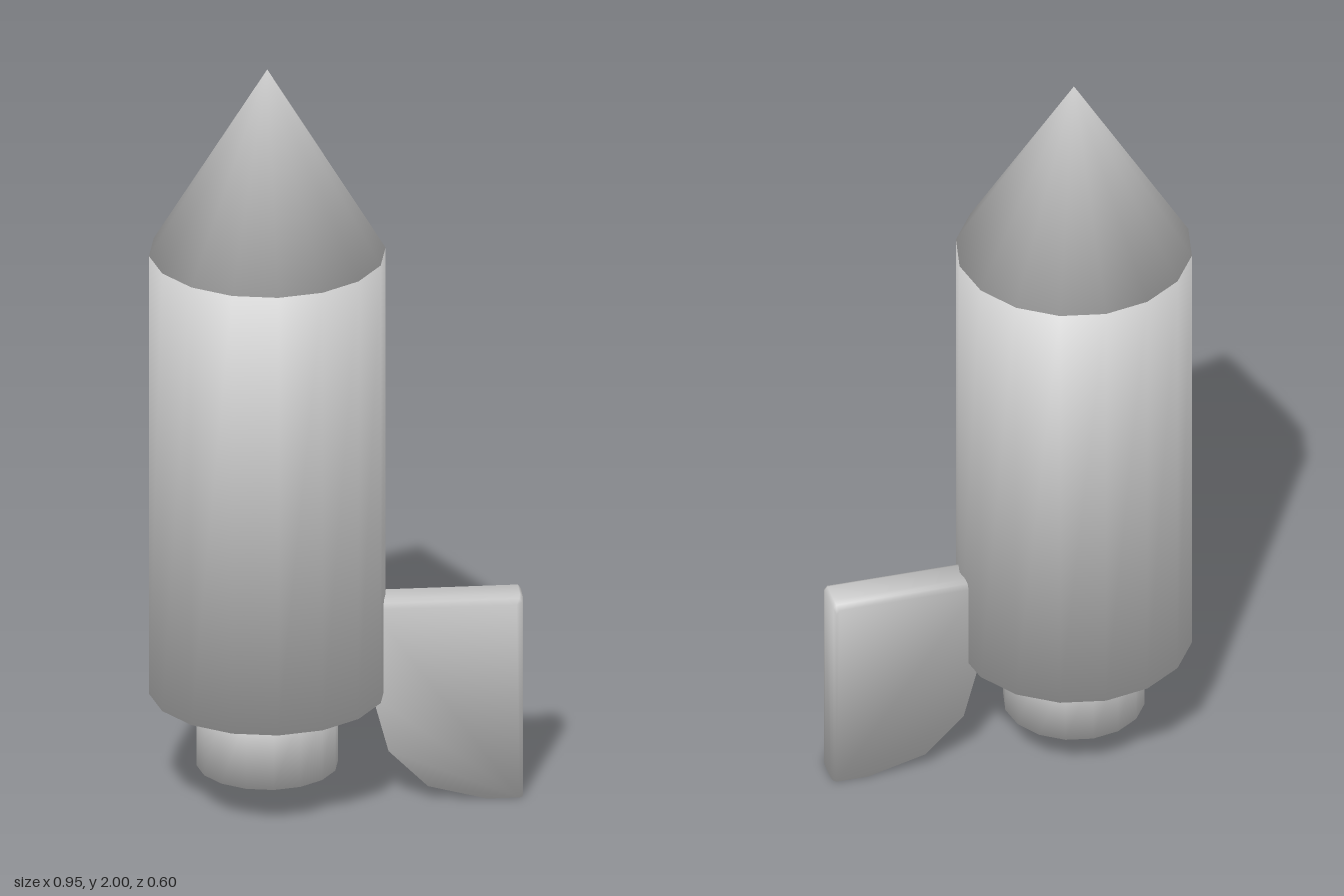
import * as THREE from 'three';
import { mergeVertices } from 'three/addons/utils/BufferGeometryUtils.js';

const SIDES = 16;
const AXIS_X = -0.173;

// Welds a geometry and gives it fully smooth normals, weighted by corner angle
function smooth(source) {
  source.deleteAttribute('uv');
  source.deleteAttribute('normal');
  const geo = mergeVertices(source, 1e-4);
  const pos = geo.attributes.position;
  const idx = geo.index;
  const sums = Array.from({ length: pos.count }, () => new THREE.Vector3());
  const p = [0, 1, 2].map(() => new THREE.Vector3());
  const u = new THREE.Vector3(), v = new THREE.Vector3(), n = new THREE.Vector3();
  for (let t = 0; t < idx.count; t += 3) {
    p.forEach((q, k) => q.fromBufferAttribute(pos, idx.getX(t + k)));
    n.crossVectors(u.subVectors(p[1], p[0]), v.subVectors(p[2], p[0])).normalize();
    for (let k = 0; k < 3; k++) {
      u.subVectors(p[(k + 1) % 3], p[k]);
      v.subVectors(p[(k + 2) % 3], p[k]);
      sums[idx.getX(t + k)].addScaledVector(n, u.angleTo(v));
    }
  }
  const normals = sums.flatMap((s) => s.normalize().toArray());
  geo.setAttribute('normal', new THREE.Float32BufferAttribute(normals, 3));
  return geo;
}

// Fin outline lofted through thickness, with rounded top and outer edges
function finGeometry() {
  const outline = [
    [0.473, 0], [0.473, 0.54], [0.465, 0.55], [0.09, 0.55],
    [0.09, 0.29], [0.13, 0.14], [0.23, 0.04], [0.38, 0],
  ];
  // z, top inset, outer inset
  const half = [[0.05, 0.022, 0.01], [0.044, 0.007, 0.003], [0.03, 0, 0]];
  const layers = [
    ...half.map(([z, t, o]) => [-z, t, o]),
    ...half.slice().reverse(),
  ];
  const count = outline.length;
  const points = [];
  const faces = [];
  layers.forEach(([z, top, outer], k) => {
    outline.forEach(([x, y], i) => {
      points.push(x > 0.46 ? x - outer : x, y > 0.5 ? y - top : y, z);
      if (k === layers.length - 1) return;
      const a = k * count + i;
      const b = k * count + (i + 1) % count;
      faces.push(a, b, b + count, a, b + count, a + count);
    });
  });
  const last = (layers.length - 1) * count;
  for (let i = 1; i < count - 1; i++) {
    faces.push(0, i + 1, i, last, last + i, last + i + 1);
  }
  const geo = new THREE.BufferGeometry();
  geo.setAttribute('position', new THREE.Float32BufferAttribute(points, 3));
  geo.setIndex(faces);
  return geo;
}

export function createModel() {
  const model = new THREE.Group();
  model.name = 'rocket';
  const grey = new THREE.MeshStandardMaterial({ color: 0xcccccc });
  grey.name = 'light grey';

  function add(name, geometry) {
    const mesh = new THREE.Mesh(smooth(geometry), grey);
    mesh.name = name;
    model.add(mesh);
    return mesh;
  }

  // Round sections stacked on the rocket's axis: name, top radius, bottom radius, bottom y, top y
  const sections = [
    ['engineNozzle', 0.18, 0.18, 0.1, 0.3],
    ['body', 0.3, 0.3, 0.3, 1.5],
    ['noseCone', 0, 0.3, 1.5, 2],
  ];
  for (const [name, rTop, rBottom, y0, y1] of sections) {
    const part = add(name, new THREE.CylinderGeometry(rTop, rBottom, y1 - y0, SIDES));
    part.position.set(AXIS_X, (y0 + y1) / 2, 0);
  }

  // Single side fin
  add('fin', finGeometry());
  return model;
}
